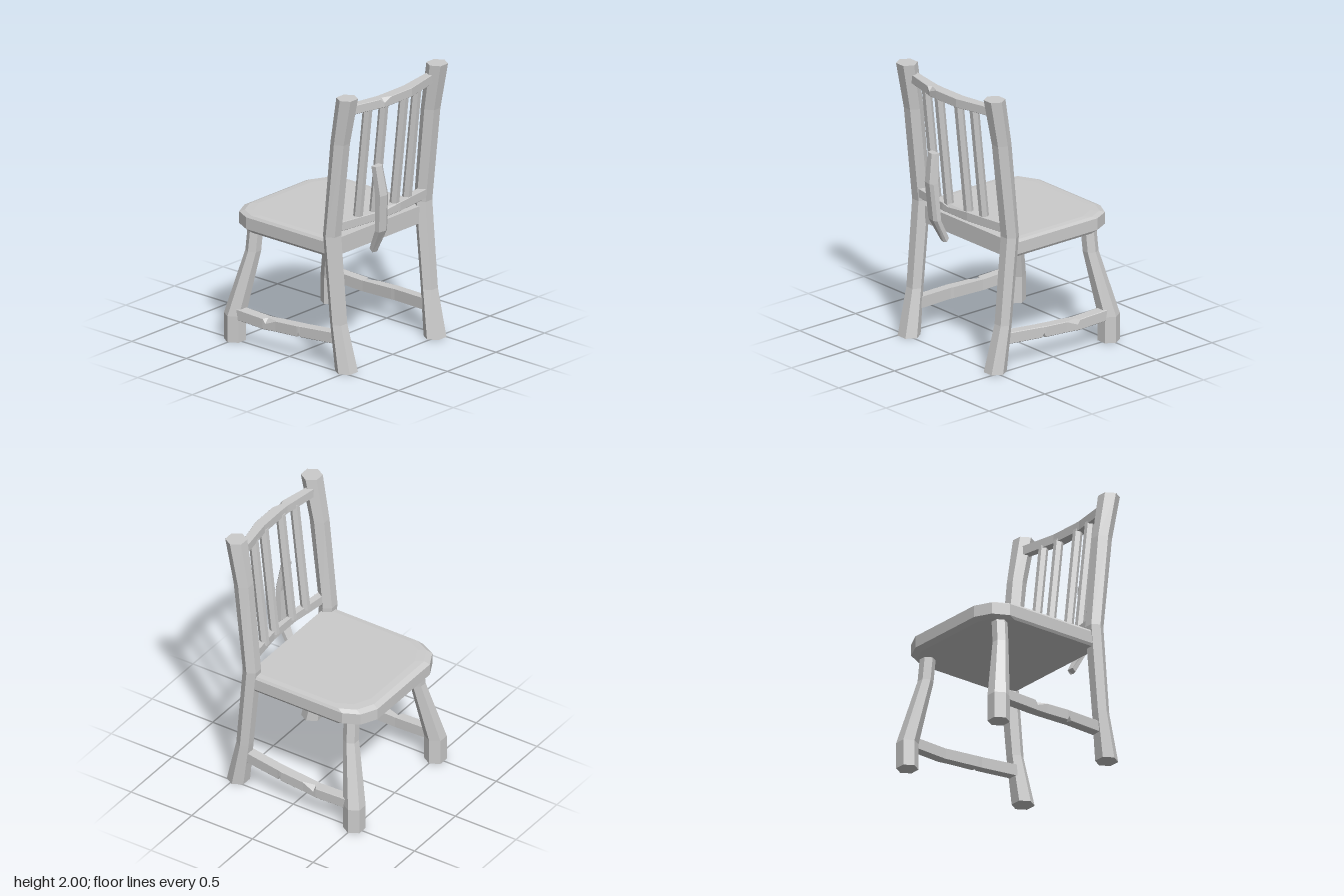
import * as THREE from 'three';

const material = new THREE.MeshStandardMaterial({ color: 0xcccccc, flatShading: true, side: THREE.DoubleSide });

// Closed, capped skin through equal-length rings of [x, y, z] points.
function loft(name, rings) {
  const pos = [];
  const n = rings[0].length;
  let volume = 0;
  const tri = (a, b, c) => {
    pos.push([a, b, c]);
    const [p, q, r] = [a, b, c].map((v) => new THREE.Vector3(...v));
    volume += p.dot(q.cross(r));
  };
  for (let i = 0; i + 1 < rings.length; i++) {
    for (let j = 0; j < n; j++) {
      const k = (j + 1) % n;
      tri(rings[i][j], rings[i][k], rings[i + 1][k]);
      tri(rings[i][j], rings[i + 1][k], rings[i + 1][j]);
    }
  }
  const last = rings[rings.length - 1];
  for (let j = 1; j + 1 < n; j++) {
    tri(rings[0][0], rings[0][j + 1], rings[0][j]);
    tri(last[0], last[j], last[j + 1]);
  }
  // Make all faces point outwards
  if (volume < 0) pos.forEach((t) => t.reverse());
  const geometry = new THREE.BufferGeometry();
  geometry.setAttribute('position', new THREE.Float32BufferAttribute(pos.flat(2), 3));
  geometry.computeVertexNormals();
  const mesh = new THREE.Mesh(geometry, material);
  mesh.name = name;
  return mesh;
}

// Level hexagon with corners pointing along z
function hex([x, y, z, rx, rz]) {
  return Array.from({ length: 6 }, (_, i) => {
    const a = (i * Math.PI) / 3;
    return [x + (rx / 0.866) * Math.sin(a), y, z + rz * Math.cos(a)];
  });
}

// Rail section in (depth, height): outer corners cut by nicks top and bottom
function railSection(inner, outer, y0, y1, nickTop, nickBottom) {
  const t = nickTop, b = nickBottom;
  return [[inner, y0], [outer - b, y0], [outer, y0 + b], [outer, y1 - t], [outer - t, y1], [inner, y1]];
}

export function createModel() {
  const chair = new THREE.Group();
  chair.name = 'chair';

  // Seat: plan outline with clipped front corners, bevelled front and sides
  const half = [[-0.575, 0.32], [-0.515, 0.44], [-0.4, 0.497], [0.38, 0.497]];
  const outline = [...half, ...half.map(([x, z]) => [x, -z]).reverse()];
  const layers = [[0.812, 0.045, 0.01], [0.83, 0, 0], [0.915, 0, 0], [0.933, 0.04, 0.012], [0.937, 0.09, 0.05]];
  chair.add(loft('seat', layers.map(([y, inX, inZ]) =>
    outline.map(([x, z]) => [x < 0 ? x + inX : x, y, z - Math.sign(z) * inZ]))));

  for (const s of [1, -1]) {
    const side = s > 0 ? 'Left' : 'Right';

    // Back post, doubling as rear leg
    chair.add(loft('backPost' + side, [
      [0.482, 0, 0.455 * s, 0.068, 0.083],
      [0.42, 0.34, 0.466 * s, 0.05, 0.064],
      [0.362, 0.97, 0.468 * s, 0.053, 0.068],
      [0.433, 1.66, 0.465 * s, 0.06, 0.066],
      [0.495, 2, 0.463 * s, 0.065, 0.077],
    ].map(hex)));

    // Splayed front leg
    chair.add(loft('frontLeg' + side, [
      [-0.502, 0, 0.497 * s, 0.067, 0.078],
      [-0.502, 0.19, 0.497 * s, 0.067, 0.078],
      [-0.414, 0.65, 0.408 * s, 0.048, 0.055],
      [-0.408, 0.83, 0.39 * s, 0.048, 0.055],
    ].map(hex)));

    // Sagging side stretcher: x, inner z, outer z, bottom, top, nicks
    chair.add(loft('sideStretcher' + side, [
      [-0.47, 0.465, 0.54, 0.165, 0.243, 0.004, 0.004],
      [-0.21, 0.465, 0.54, 0.157, 0.235, 0.004, 0.004],
      [-0.19, 0.465, 0.538, 0.157, 0.235, 0.035, 0.004],
      [-0.1, 0.46, 0.53, 0.162, 0.241, 0.004, 0.004],
      [0.085, 0.45, 0.525, 0.172, 0.252, 0.004, 0.004],
      [0.1, 0.45, 0.523, 0.173, 0.253, 0.004, 0.035],
      [0.115, 0.45, 0.52, 0.174, 0.254, 0.004, 0.004],
      [0.42, 0.415, 0.485, 0.187, 0.27, 0.004, 0.004],
    ].map(([x, ...r]) => railSection(...r).map(([z, y]) => [x, y, z * s]))));
  }

  // Bowed back rails: z, inner x, outer x, bottom, top, nicks
  const rail = (name, stations) => chair.add(loft(name,
    stations.map(([z, ...r]) => railSection(...r).map(([x, y]) => [x, y, z]))));
  rail('topRail', [
    [-0.43, 0.44, 0.495, 1.862, 1.928, 0.003, 0.003],
    [-0.13, 0.485, 0.56, 1.86, 1.925, 0.003, 0.003],
    [0.08, 0.487, 0.561, 1.86, 1.925, 0.003, 0.003],
    [0.15, 0.485, 0.56, 1.86, 1.925, 0.03, 0.003],
    [0.18, 0.48, 0.55, 1.86, 1.925, 0.003, 0.003],
    [0.43, 0.44, 0.495, 1.862, 1.928, 0.003, 0.003],
  ]);
  rail('lowerRail', [
    [-0.43, 0.365, 0.42, 1.0, 1.066, 0.003, 0.003],
    [-0.13, 0.405, 0.457, 1.0, 1.066, 0.003, 0.003],
    [0.08, 0.405, 0.457, 1.0, 1.062, 0.02, 0.003],
    [0.13, 0.405, 0.457, 1.0, 1.06, 0.003, 0.003],
    [0.43, 0.365, 0.42, 1.0, 1.066, 0.003, 0.003],
  ]);

  // Four leaning spindles
  [0.253, 0.104, -0.104, -0.25].forEach((z, i) => {
    const bow = Math.abs(z) > 0.2 ? 0 : 0.015;
    chair.add(loft('spindle' + (i + 1), [
      hex([0.405 + bow, 1.04, z, 0.03, 0.033]),
      hex([0.497 + bow, 1.88, z, 0.03, 0.033]),
    ]));
  });

  // Bent slat hanging behind the back: y front, y back, x front, x back, z range
  chair.add(loft('looseSlat', [
    [0.8, 0.775, 0.425, 0.46, 0.1, 0.155],
    [0.95, 0.95, 0.5, 0.548, 0.095, 0.185],
    [1.22, 1.22, 0.515, 0.57, 0.11, 0.198],
    [1.43, 1.43, 0.487, 0.537, 0.13, 0.205],
  ].map(([yf, yb, xf, xb, z0, z1]) => {
    const zm = z0 + (z1 - z0) * 0.3;
    return [[xf, yf, z0], [xf, yf, z1], [xb - 0.01, yb, z1], [xb, yb, zm], [xb - 0.015, yb, z0]];
  })));

  return chair;
}
